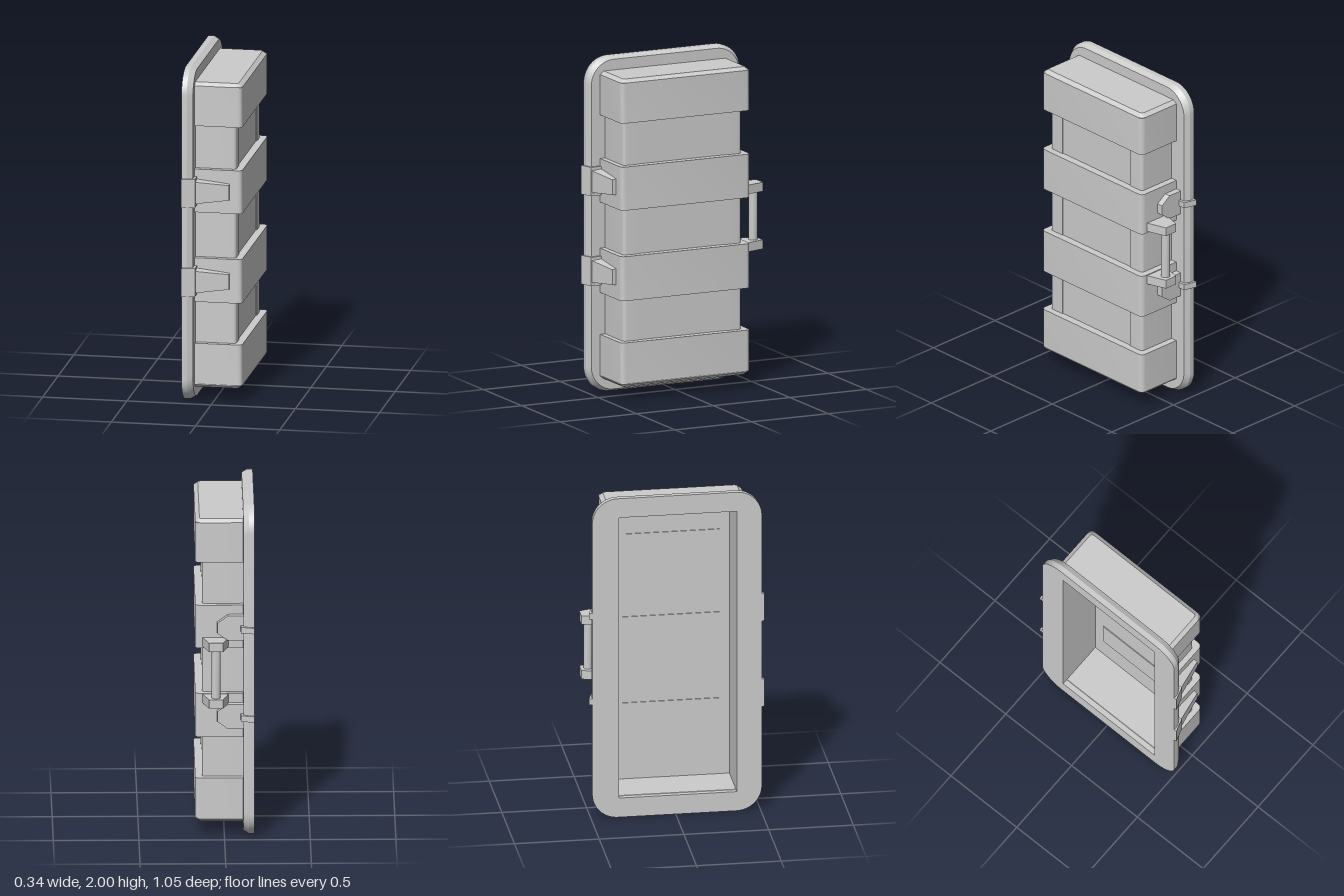
import * as THREE from 'three';
import { toCreasedNormals } from 'three/addons/utils/BufferGeometryUtils.js';
import { ConvexGeometry } from 'three/addons/geometries/ConvexGeometry.js';

const material = new THREE.MeshStandardMaterial({ color: 0xcccccc });

// Interior of the shell
const IN = { x: 0.118, z0: -0.335, z1: 0.36, y0: 0.12, y1: 1.88 };
const bandCentres = [0.733, 1.27];

export function createModel() {
  const group = new THREE.Group();
  const add = (name, geometry, x = 0, y = 0, z = 0) => {
    const mesh = new THREE.Mesh(geometry, material);
    mesh.name = name;
    mesh.position.set(x, y, z);
    group.add(mesh);
    return mesh;
  };

  // Extrudes a plan drawn in (x, -z) upwards from y0 to y1
  const extrudeUp = (shape, y0, y1) =>
    toCreasedNormals(
      new THREE.ExtrudeGeometry(shape, { depth: y1 - y0, bevelEnabled: false, curveSegments: 5 })
        .rotateX(-Math.PI / 2).translate(0, y0, 0), 0.6);

  // Plan outline with two rounded corners on the +x side
  const plan = (xBack, xFace, z0, z1, r, groove) => {
    const s = new THREE.Shape();
    s.moveTo(xBack, -z1);
    s.lineTo(xFace - r, -z1);
    s.quadraticCurveTo(xFace, -z1, xFace, -z1 + r);
    if (groove) {
      s.lineTo(xFace, -0.3);
      s.lineTo(xFace - groove, -0.3);
      s.lineTo(xFace - groove, 0.27);
      s.lineTo(xFace, 0.27);
    }
    s.lineTo(xFace, -z0 - r);
    s.quadraticCurveTo(xFace, -z0, xFace - r, -z0);
    s.lineTo(xBack, -z0);
    return s;
  };
  // Same outline hollowed out to a U
  const uPlan = (xFace, z0, z1, r, inX, in0, in1, groove) => {
    const s = plan(-0.12, xFace, z0, z1, r, groove);
    s.lineTo(-0.12, -in0);
    s.lineTo(inX, -in0);
    s.lineTo(inX, -in1);
    s.lineTo(-0.12, -in1);
    return s;
  };

  // Rim: rounded frame whose outer edge tapers on the shell side
  const w = 0.5, h = 1, r = 0.15, cz = 0.008;
  const rim = new THREE.Shape();
  rim.moveTo(-w + r, -h);
  rim.lineTo(w - r, -h);
  rim.absarc(w - r, -h + r, r, -Math.PI / 2, 0);
  rim.absarc(w - r, h - r, r, 0, Math.PI / 2);
  rim.absarc(-w + r, h - r, r, Math.PI / 2, Math.PI);
  rim.absarc(-w + r, -h + r, r, Math.PI, Math.PI * 1.5);
  const a = cz - IN.z1, b = cz - IN.z0, c = IN.y0 - 1, d = IN.y1 - 1;
  rim.holes.push(new THREE.Path([[a, c], [a, d], [b, d], [b, c]].map(p => new THREE.Vector2(...p))));
  let rimGeo = new THREE.ExtrudeGeometry(rim, { depth: 0.065, steps: 2, bevelEnabled: false, curveSegments: 8 });
  const pos = rimGeo.attributes.position;
  for (let i = 0; i < pos.count; i++) {
    const x = pos.getX(i), y = pos.getY(i);
    const outer = Math.abs(x) > 0.38 || Math.abs(y) > 0.9;
    if (outer && pos.getZ(i) > 0.06) pos.setXY(i, x * 0.965, y * 0.984);
  }
  rimGeo = toCreasedNormals(rimGeo, 0.4);
  add('rim', rimGeo.rotateY(Math.PI / 2), -0.175, 1, cz);

  // Shell wall
  add('shell', extrudeUp(uPlan(0.13, -0.37, 0.4, 0.022, IN.x, IN.z0, IN.z1, 0.006), 0.11, 1.89));

  // Reinforcing bands and the sides of the end caps
  const bandPlan = uPlan(0.17, -0.41, 0.433, 0.03, 0.12, -0.35, 0.38);
  [[0.105, 0.35], [0.6, 0.865], [1.14, 1.4], [1.66, 1.9]].forEach(([y0, y1]) =>
    add('band', extrudeUp(bandPlan, y0, y1)));

  // Bevelled end walls
  for (const y of [0.102, 1.9]) {
    const end = new THREE.ExtrudeGeometry(plan(-0.14, 0.145, -0.385, 0.408, 0.02), {
      depth: 0.002, bevelThickness: 0.019, bevelSize: 0.025, bevelSegments: 1, curveSegments: 5,
    });
    add('endWall', toCreasedNormals(end.rotateX(-Math.PI / 2), 0.5), 0, y - 0.001, 0);
  }

  // Raised panels on the inside floor, between the bands
  [[0.35, 0.6], [0.865, 1.14], [1.4, 1.66]].forEach(([y0, y1]) =>
    add('innerPanel', new THREE.BoxGeometry(0.009, y1 - y0, 0.57), 0.1175, (y0 + y1) / 2, 0.015));

  // Solid from an (x, z) outline with a half height at each corner
  const block = corners => new ConvexGeometry(
    corners.flatMap(([x, z, t]) => [new THREE.Vector3(x, t, z), new THREE.Vector3(x, -t, z)]));

  for (const y of bandCentres) {
    // Latches
    add('latchCatch', block([[-0.175, 0.43, 0.086], [-0.175, 0.525, 0.086],
      [-0.095, 0.5, 0.086], [-0.095, 0.43, 0.086]]), 0, y, 0);
    add('latchLever', block([[-0.1, 0.42, 0.072], [-0.1, 0.495, 0.066],
      [0.098, 0.457, 0.045], [0.098, 0.42, 0.05]]), 0, y, 0);

    // Hinge plates with cut corners, and their pins
    add('hingePlate', block([[-0.12, -0.4, 0.075], [-0.12, -0.447, 0.075], [-0.02, -0.4, 0.075],
      [-0.02, -0.447, 0.075], [0.042, -0.4, 0.03], [0.042, -0.447, 0.03]]), 0, y, 0);
    add('hingePin', block([[-0.175, -0.44, 0.018], [-0.175, -0.513, 0.018],
      [-0.095, -0.49, 0.018], [-0.095, -0.44, 0.018]]), 0, y, 0);
  }

  // Carrying handle
  for (const y of [0.833, 1.177])
    add('handleMount', block([[-0.025, -0.4, 0.027], [-0.013, -0.455, 0.027], [0.01, -0.53, 0.027],
      [0.09, -0.53, 0.027], [0.13, -0.4, 0.027]]), 0, y, 0);
  add('handleGrip', toCreasedNormals(new THREE.CylinderGeometry(0.027, 0.027, 0.3, 12), 0.6), 0.05, 1.005, -0.485);

  return group;
}
